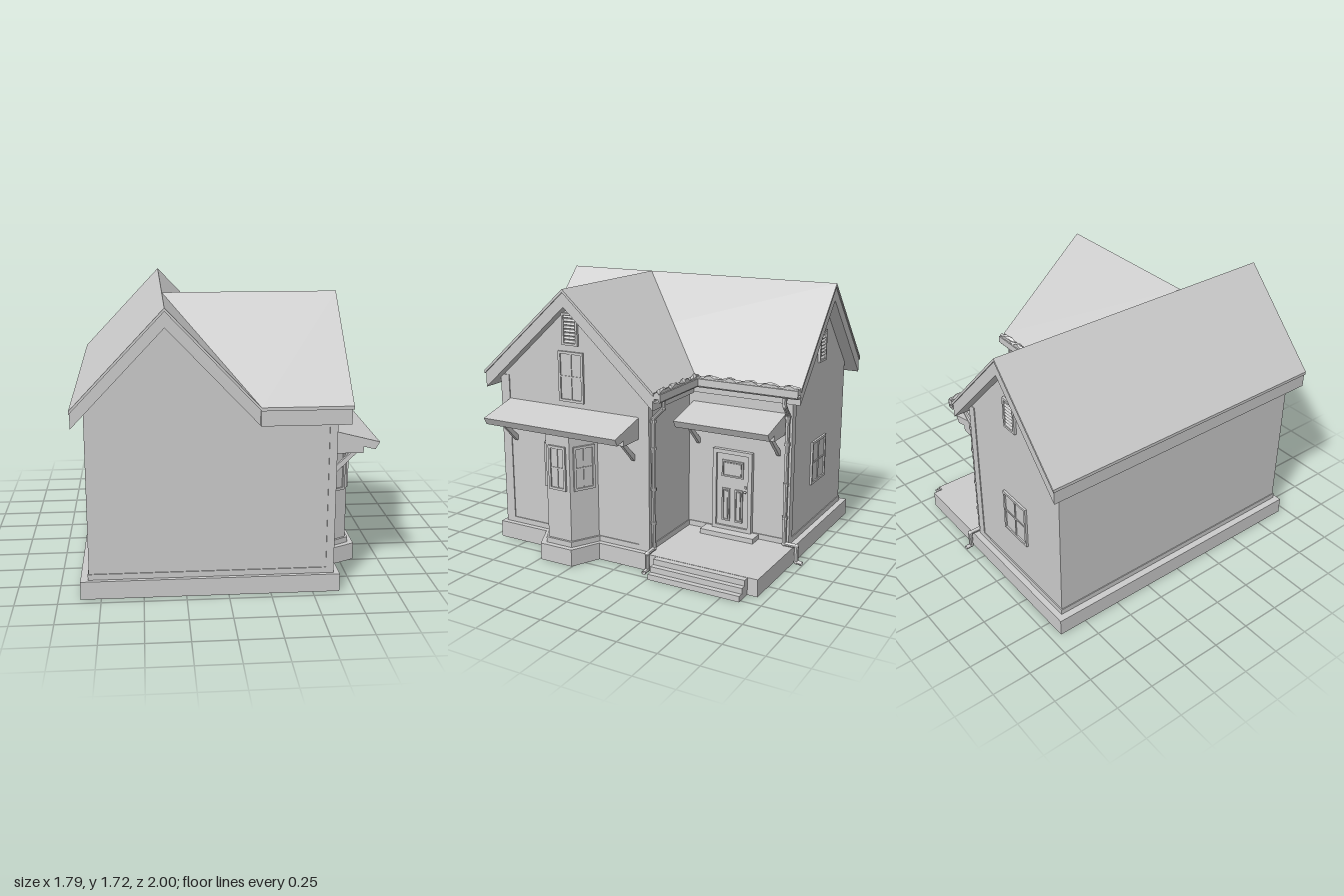
import * as THREE from 'three';

const grey = new THREE.MeshStandardMaterial({ color: 0xcccccc, flatShading: true, side: THREE.DoubleSide });

function add(parent, name, geo, x = 0, y = 0, z = 0) {
  const m = new THREE.Mesh(geo, grey);
  m.name = name;
  m.position.set(x, y, z);
  parent.add(m);
  return m;
}

// Box given by its limits on each axis
function block(parent, name, x0, x1, y0, y1, z0, z1) {
  return add(parent, name, new THREE.BoxGeometry(x1 - x0, y1 - y0, z1 - z0),
    (x0 + x1) / 2, (y0 + y1) / 2, (z0 + z1) / 2);
}

// Extrudes an outline along z between two limits
function prism(points, from, to) {
  const shape = new THREE.Shape(points.map(p => new THREE.Vector2(...p)));
  return new THREE.ExtrudeGeometry(shape, { depth: to - from, bevelEnabled: false }).translate(0, 0, from);
}

// Extrudes a plan outline of [x, z] points upwards
function plan(points, y0, y1) {
  return prism(points.map(([x, z]) => [x, -z]), y0, y1).rotateX(-Math.PI / 2);
}

// Inverted V of a pitched roof, with plumb-cut eaves
function chevron(half, ridge, eave, thick) {
  return [[-half, eave], [0, ridge], [half, eave], [half, eave - thick], [0, ridge - thick], [-half, eave - thick]];
}

function gableWall(half, eave, apex) {
  return [[-half, 0.1], [half, 0.1], [half, eave], [0, apex], [-half, eave]];
}

// Square-edged frame facing +z
function frame(parent, name, w, h, t, d) {
  for (const s of [-1, 1]) {
    add(parent, name, new THREE.BoxGeometry(t, h, d), s * (w - t) / 2, 0, d / 2);
    add(parent, name, new THREE.BoxGeometry(w, t, d), 0, s * (h - t) / 2, d / 2);
  }
}

function makeWindow(name, w, h) {
  const g = new THREE.Group();
  g.name = name;
  frame(g, 'windowFrame', w, h, 0.016, 0.014);
  add(g, 'windowPane', new THREE.BoxGeometry(w - 0.02, h - 0.02, 0.006), 0, 0, 0.002);
  add(g, 'mullion', new THREE.BoxGeometry(0.01, h - 0.02, 0.01), 0, 0, 0.005);
  add(g, 'glazingBar', new THREE.BoxGeometry(w - 0.02, 0.01, 0.01), 0, 0, 0.005);
  return g;
}

function makeVent(name) {
  const g = new THREE.Group();
  g.name = name;
  frame(g, 'ventFrame', 0.115, 0.2, 0.014, 0.016);
  for (let i = 0; i < 8; i++) {
    add(g, 'louvre', new THREE.BoxGeometry(0.09, 0.016, 0.004), 0, -0.077 + i * 0.022, 0.006).rotation.x = -0.7;
  }
  return g;
}

function place(parent, obj, x, y, z, turn) {
  obj.position.set(x, y, z);
  obj.rotation.y = turn;
  parent.add(obj);
}

// Round pipe through a list of points, with ball joints and wall straps
function downpipe(parent, points, straps) {
  const g = new THREE.Group();
  g.name = 'downpipe';
  const v = points.map(p => new THREE.Vector3(...p));
  for (let i = 0; i < v.length - 1; i++) {
    const line = new THREE.LineCurve3(v[i], v[i + 1]);
    add(g, 'pipeLength', new THREE.TubeGeometry(line, 1, 0.014, 10));
    if (i) add(g, 'pipeElbow', new THREE.SphereGeometry(0.0155, 10, 8), ...points[i]);
  }
  for (const y of straps) add(g, 'pipeStrap', new THREE.CylinderGeometry(0.019, 0.019, 0.018, 10), v[3].x, y, v[3].z);
  parent.add(g);
}

// Sloped canopy on a wall facing +x, with a diagonal bracket near each end
function canopy(parent, name, wall, z0, z1) {
  const g = new THREE.Group();
  g.name = name;
  g.position.x = wall;
  add(g, 'canopyRoof', prism([[0, 0.965], [0.27, 0.895], [0.245, 0.85], [0.175, 0.868], [0.175, 0.83], [0, 0.83]], z0, z1));
  const brace = [[0, 0.69], [0.01, 0.69], [0.15, 0.83], [0.115, 0.83], [0, 0.725]];
  for (const z of [z0 + 0.04, z1 - 0.04]) add(g, 'canopyBracket', prism(brace, z - 0.01, z + 0.01));
  parent.add(g);
}

// Open trough with a ragged line of leaves, running along +x
function gutter(parent, length) {
  const g = new THREE.Group();
  g.name = 'gutter';
  const u = [[-0.024, 1.145], [-0.024, 1.1], [-0.016, 1.09], [0.016, 1.09], [0.024, 1.1], [0.024, 1.145],
    [0.016, 1.145], [0.016, 1.1], [-0.016, 1.1], [-0.016, 1.145]];
  add(g, 'gutterTrough', prism(u, 0, length).rotateY(Math.PI / 2));
  const leaves = new THREE.BoxGeometry(length, 0.04, 0.03, 28, 1, 3);
  const p = leaves.attributes.position;
  for (let i = 0; i < p.count; i++) {
    const x = p.getX(i), z = p.getZ(i);
    if (p.getY(i) > 0) p.setY(i, 0.024 + 0.008 * Math.sin(x * 47) + 0.006 * Math.sin(x * 83 + z * 200));
  }
  add(g, 'gutterLeaves', leaves, length / 2, 1.135, 0);
  parent.add(g);
  return g;
}

export function createModel() {
  const house = new THREE.Group();
  house.name = 'house';
  const RX = -0.36, RZ = 0.37, quarter = Math.PI / 2;

  // Foundation and porch steps
  block(house, 'foundation', -0.87, 0.66, 0, 0.11, -0.935, 0.95);
  [[0.7, 0.108], [0.735, 0.072], [0.77, 0.036]].forEach(([x, y]) => block(house, 'porchStep', 0.6, x, 0, y, -0.87, -0.255));

  // Walls of the main range and the side wing
  add(house, 'mainWalls', prism(gableWall(0.46, 1.17, 1.66), -0.89, 0.92), RX);
  add(house, 'wingWalls', prism(gableWall(0.55, 1.14, 1.66), 0, 0.62).rotateY(quarter), 0, 0, RZ);

  // Skirting band and corner boards
  const e = 0.006;
  block(house, 'skirting', -0.82 - e, 0.1 + e, 0.11, 0.145, -0.89 - e, 0.92 + e);
  block(house, 'skirting', 0, 0.62 + e, 0.11, 0.145, -0.18 - e, 0.92 + e);
  block(house, 'cornerBoard', 0.58, 0.62 + e, 0.11, 1.12, 0.86, 0.92 + e);
  block(house, 'cornerBoard', 0.58, 0.62 + e, 0.11, 1.12, -0.18 - e, -0.11);
  block(house, 'cornerBoard', 0.05, 0.1 + e, 0.11, 1.14, -0.89 - e, -0.85);

  // Main roof: covering over slightly inset barge boards
  add(house, 'mainRoof', prism(chevron(0.535, 1.715, 1.15, 0.02), -0.975, 1), RX);
  add(house, 'mainBargeBoards', prism(chevron(0.53, 1.7, 1.14, 0.095), -0.968, 0.993), RX);

  // Wing roof, its inner end mitred to the valleys
  const mitre = (geo, half) => {
    const p = geo.attributes.position;
    for (let i = 0; i < p.count; i++) if (p.getX(i) < 0) p.setX(i, RX + 0.535 * Math.abs(p.getZ(i)) / half);
    geo.computeVertexNormals();
    return geo;
  };
  add(house, 'wingRoof', mitre(prism(chevron(0.63, 1.715, 1.15, 0.02), RX, 0.7).rotateY(quarter), 0.63), 0, 0, RZ);
  add(house, 'wingBargeBoards', mitre(prism(chevron(0.622, 1.7, 1.135, 0.095), RX, 0.692).rotateY(quarter), 0.622), 0, 0, RZ);

  // Bay: plinth, sill and three-sided wall
  add(house, 'bayPlinth', plan([[0.6, 0.58], [0.66, 0.58], [0.84, 0.49], [0.84, 0.255], [0.66, 0.165], [0.6, 0.165]], 0, 0.11));
  add(house, 'baySill', plan([[0.6, 0.565], [0.63, 0.565], [0.805, 0.468], [0.805, 0.277], [0.63, 0.18], [0.6, 0.18]], 0.11, 0.145));
  add(house, 'bayWalls', plan([[0.6, 0.555], [0.62, 0.555], [0.79, 0.46], [0.79, 0.285], [0.62, 0.19], [0.6, 0.19]], 0.11, 0.85));
  const slant = Math.atan2(0.095, 0.17);
  place(house, makeWindow('bayFrontWindow', 0.125, 0.285), 0.79, 0.617, 0.3725, quarter);
  place(house, makeWindow('baySideWindow', 0.145, 0.285), 0.705, 0.617, 0.5075, slant);
  place(house, makeWindow('baySideWindow', 0.145, 0.285), 0.705, 0.617, 0.2375, Math.PI - slant);

  // Gable windows and vents
  place(house, makeWindow('gableWindow', 0.185, 0.32), 0.62, 1.16, RZ, quarter);
  place(house, makeVent('gableVent'), 0.62, 1.46, RZ, quarter);
  place(house, makeWindow('backWindow', 0.24, 0.29), RX, 0.55, -0.89, Math.PI);
  place(house, makeVent('backVent'), RX, 1.31, -0.89, Math.PI);

  // Canopies over the bay and the door
  canopy(house, 'bayCanopy', 0.62, -0.115, 0.86);
  canopy(house, 'doorCanopy', 0.1, -0.85, -0.21);

  // Panelled door with glazed light, knob and threshold
  const door = new THREE.Group();
  door.name = 'door';
  frame(door, 'doorFrame', 0.275, 0.54, 0.026, 0.03);
  add(door, 'doorLeaf', new THREE.BoxGeometry(0.235, 0.53, 0.02), 0, -0.005, 0.005);
  const panel = (name, x, y, w, h) => {
    const g = new THREE.Group();
    g.name = name;
    frame(g, 'panelMoulding', w, h, 0.01, 0.01);
    add(g, 'panelFace', new THREE.BoxGeometry(w - 0.035, h - 0.035, 0.008), 0, 0, 0.002);
    place(door, g, x, y, 0.015, 0);
  };
  panel('doorLight', 0, 0.145, 0.15, 0.11);
  for (const s of [-1, 1]) panel('doorPanel', s * 0.045, -0.1, 0.055, 0.22);
  add(door, 'doorKnob', new THREE.SphereGeometry(0.009, 10, 8), 0.092, 0.005, 0.026);
  add(door, 'doorLock', new THREE.BoxGeometry(0.012, 0.016, 0.01), 0.092, 0.035, 0.018);
  place(house, door, 0.1, 0.41, -0.505, quarter);
  block(house, 'threshold', 0.1, 0.2, 0.11, 0.142, -0.69, -0.315);

  // Gutters along the two inner eaves
  gutter(house, 0.5).position.set(0.195, 0, -0.28);
  place(house, gutter(house, 0.71), 0.2, 0, -0.26, quarter);

  // Downpipes at the wing corner and the back corner
  downpipe(house, [[0.6, 1.1, -0.275], [0.6, 1.04, -0.275], [0.6, 0.965, -0.203], [0.6, 0.13, -0.203],
    [0.685, 0.125, -0.203], [0.685, 0.02, -0.203], [0.73, 0.015, -0.203]], [0.3, 0.52, 0.78, 0.95]);
  downpipe(house, [[0.2, 1.1, -0.88], [0.2, 1.04, -0.88], [0.128, 0.965, -0.875], [0.128, 0.125, -0.875],
    [0.128, 0.125, -0.96], [0.128, 0.02, -0.96], [0.128, 0.015, -1]], [0.3, 0.52, 0.78, 0.95]);

  return house;
}
